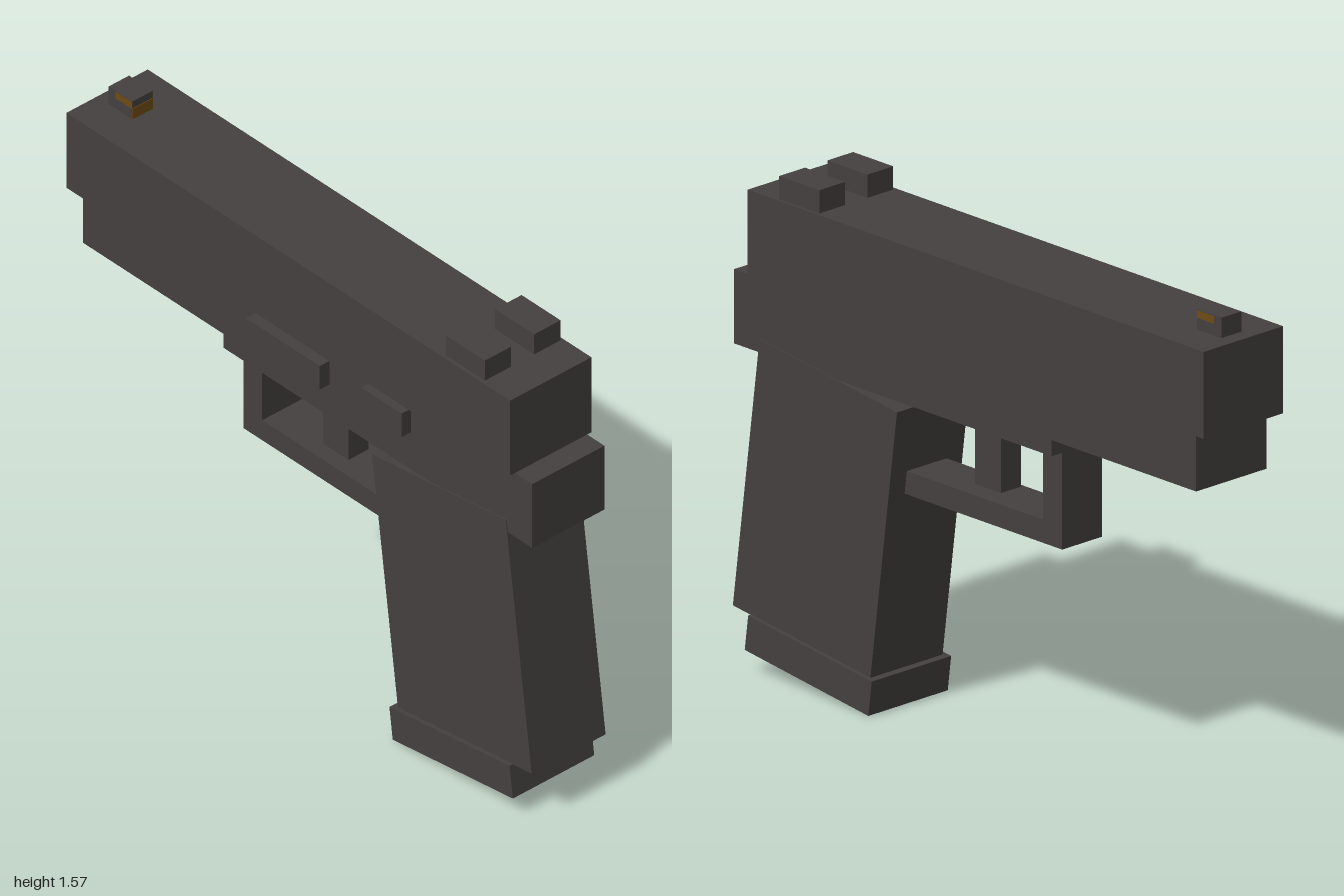
import * as THREE from 'three';

export function createModel() {
  const group = new THREE.Group();
  const charcoal = new THREE.MeshStandardMaterial({ color: 0x454040 });
  charcoal.name = 'charcoal';
  const brass = new THREE.MeshStandardMaterial({ color: 0x6e4c14 });
  brass.name = 'brass';

  // Box given by its extents on each axis
  function block(name, [x0, x1], [y0, y1], [z0, z1], material = charcoal) {
    const mesh = new THREE.Mesh(new THREE.BoxGeometry(x1 - x0, y1 - y0, z1 - z0), material);
    mesh.position.set((x0 + x1) / 2, (y0 + y1) / 2, (z0 + z1) / 2);
    mesh.name = name;
    group.add(mesh);
    return mesh;
  }

  // Box raked back at the grip angle
  function raked(name, width, height, depth, y, z, degrees) {
    const mesh = new THREE.Mesh(new THREE.BoxGeometry(width, height, depth), charcoal);
    mesh.position.set(0.008, y, z);
    mesh.rotation.x = -THREE.MathUtils.degToRad(degrees);
    mesh.name = name;
    group.add(mesh);
  }

  // Upper slide
  block('slide', [-0.153, 0.167], [1.23, 1.5], [-1, 0.925]);

  // Frame: stepped side profile extruded across the width
  const profile = new THREE.Shape([
    [-1, 1.0], [0.34, 1.0], [0.34, 1.05], [0.95, 1.05], [0.95, 1.23], [-1, 1.23],
  ].map(([a, y]) => new THREE.Vector2(a, y)));
  const frame = new THREE.Mesh(
    new THREE.ExtrudeGeometry(profile, { depth: 0.284, bevelEnabled: false }), charcoal);
  frame.rotation.y = Math.PI / 2; // profile axis runs towards -z
  frame.position.x = -0.134;
  frame.name = 'frame';
  group.add(frame);

  // Grip and its base plate
  raked('grip', 0.291, 0.862, 0.585, 0.578, 0.655, 7.5);
  raked('gripBase', 0.32, 0.111, 0.526, 0.092, 0.668, 7.5);

  // Trigger and guard
  block('trigger', [-0.032, 0.048], [0.777, 0.985], [-0.02, 0.09]);
  block('guardBottom', [-0.072, 0.088], [0.69, 0.762], [-0.32, 0.4]);
  block('guardFront', [-0.072, 0.088], [0.762, 1.0], [-0.32, -0.24]);

  // Controls on the right side
  block('longLever', [-0.172, -0.13], [1.115, 1.2], [-0.2, 0.12]);
  block('shortLever', [-0.172, -0.13], [1.135, 1.22], [0.3, 0.475]);

  // Sights
  for (const side of [-1, 1]) {
    const x = 0.008 + side * 0.097;
    block('rearSight', [x - 0.052, x + 0.052], [1.5, 1.572], [0.633, 0.802]);
  }
  block('frontSight', [-0.032, 0.048], [1.5, 1.563], [-0.95, -0.848]);

  // Brass inlays on the front sight
  block('sightInlay', [-0.032, 0.048], [1.5, 1.538], [-0.848, -0.846], brass);
  for (const x of [-0.032, 0.048]) {
    block('sightSideInlay', [x - 0.001, x + 0.001], [1.537, 1.56], [-0.92, -0.848], brass);
  }

  return group;
}
